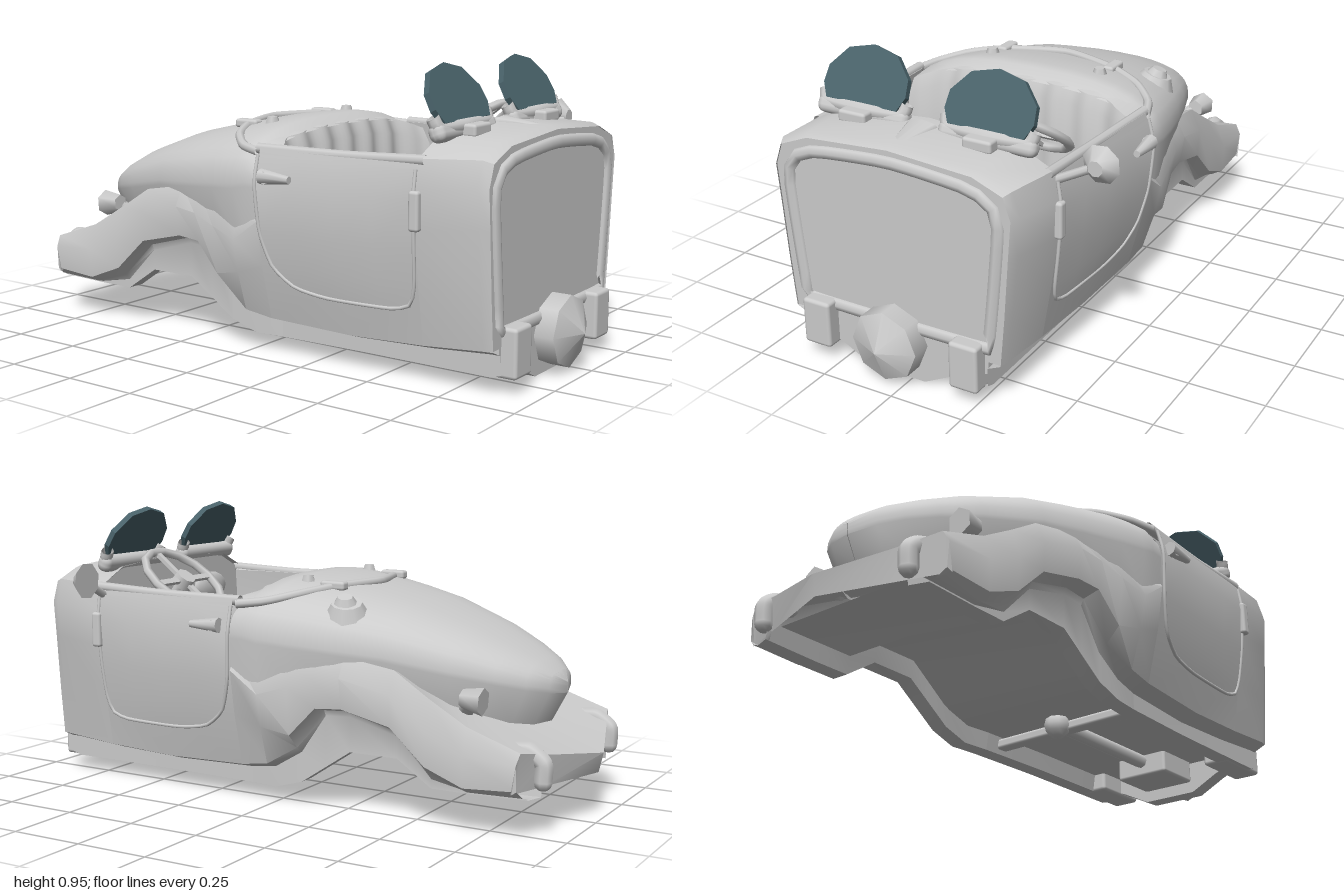
import * as THREE from 'three';
import { toCreasedNormals } from 'three/addons/utils/BufferGeometryUtils.js';
import { RoundedBoxGeometry } from 'three/addons/geometries/RoundedBoxGeometry.js';

const grey = new THREE.MeshStandardMaterial({ color: 0xcccccc, side: THREE.DoubleSide });
const tint = new THREE.MeshStandardMaterial({ color: 0x4a636b, side: THREE.DoubleSide });
const V = (x, y, z) => new THREE.Vector3(x, y, z);

// Skin a list of cross-sections, each a list of [x, y, z]
function loft(sections) {
  const n = sections[0].length, index = [];
  for (let i = 0; i < sections.length - 1; i++) {
    for (let j = 0; j < n - 1; j++) {
      const a = i * n + j, b = a + n;
      index.push(a, b, a + 1, a + 1, b, b + 1);
    }
  }
  const g = new THREE.BufferGeometry();
  g.setAttribute('position', new THREE.Float32BufferAttribute(sections.flat(2), 3));
  g.setIndex(index);
  return toCreasedNormals(g, 0.65);
}
// Half profile [x, y] from the sill to the centre line -> whole profile
const whole = (half) => [...half, ...half.slice(0, -1).reverse().map(([x, y]) => [-x, y])];
const atZ = (pts, z) => pts.map(([x, y]) => [x, y, z]);
// Chassis rail under the body, with a small shelf where the body overhangs it
const withRail = ([sill, ...rest]) => [[sill[0] - 0.07, sill[1] + 0.06], [sill[0] - 0.06, sill[1]], sill,
  [sill[0], Math.max(sill[1] + 0.005, rest[0][1] - 0.02)], ...rest];
const shapeOf = (pts) => new THREE.Shape(pts.map(([x, y]) => new THREE.Vector2(x, y)));

const COWL = [
  [0.89, [[0.33, 0.06], [0.375, 0.14], [0.39, 0.3], [0.405, 0.5], [0.415, 0.62], [0.39, 0.69], [0.29, 0.73], [0, 0.75]]],
  [0.86, [[0.33, 0.05], [0.38, 0.14], [0.4, 0.3], [0.42, 0.5], [0.428, 0.62], [0.405, 0.7], [0.3, 0.74], [0, 0.76]]],
  [0.66, [[0.33, 0.05], [0.385, 0.125], [0.415, 0.3], [0.44, 0.48], [0.445, 0.6], [0.425, 0.69], [0.31, 0.745], [0, 0.77]]],
];
const WALL = [
  [0.66, COWL[2][1].slice(0, 6)],
  [0.4, [[0.33, 0.05], [0.39, 0.115], [0.43, 0.28], [0.455, 0.45], [0.46, 0.58], [0.435, 0.68]]],
  [0.1, [[0.34, 0.05], [0.4, 0.125], [0.445, 0.3], [0.47, 0.45], [0.475, 0.57], [0.45, 0.68]]],
];
const FENDER = [
  [0.1, [[0.34, 0.05], [0.4, 0.125], [0.445, 0.3], [0.47, 0.45], [0.44, 0.5], [0.3, 0.5], [0, 0.5]]],
  [0, [[0.35, 0.05], [0.405, 0.14], [0.445, 0.27], [0.468, 0.38], [0.45, 0.44], [0.3, 0.46], [0, 0.46]]],
  [-0.1, [[0.35, 0.08], [0.38, 0.2], [0.43, 0.25], [0.45, 0.41], [0.43, 0.48], [0.3, 0.48], [0, 0.46]]],
  [-0.19, [[0.35, 0.14], [0.36, 0.33], [0.42, 0.345], [0.435, 0.44], [0.405, 0.505], [0.3, 0.48], [0, 0.44]]],
  [-0.28, [[0.35, 0.2], [0.36, 0.335], [0.41, 0.35], [0.425, 0.45], [0.39, 0.515], [0.29, 0.49], [0, 0.43]]],
  [-0.45, [[0.35, 0.2], [0.36, 0.29], [0.405, 0.31], [0.41, 0.41], [0.375, 0.485], [0.25, 0.44], [0, 0.4]]],
  [-0.57, [[0.35, 0.12], [0.365, 0.17], [0.405, 0.2], [0.41, 0.31], [0.38, 0.41], [0.25, 0.38], [0, 0.36]]],
  [-0.7, [[0.35, 0.12], [0.37, 0.13], [0.405, 0.15], [0.41, 0.25], [0.38, 0.335], [0.25, 0.33], [0, 0.32]]],
  [-0.87, [[0.35, 0.125], [0.37, 0.135], [0.4, 0.16], [0.405, 0.24], [0.385, 0.275], [0.25, 0.25], [0, 0.215]]],
];
// z, half width, lower half width, lower y, rim y, top y
const DECK = [
  [0.1, 0.47, 0.46, 0.42, 0.57, 0.71], [0.05, 0.473, 0.46, 0.41, 0.57, 0.74], [0, 0.47, 0.455, 0.4, 0.56, 0.742],
  [-0.1, 0.452, 0.43, 0.42, 0.55, 0.73],
  [-0.25, 0.415, 0.39, 0.42, 0.535, 0.7], [-0.4, 0.37, 0.34, 0.42, 0.52, 0.665], [-0.6, 0.295, 0.26, 0.36, 0.48, 0.595],
  [-0.72, 0.23, 0.2, 0.32, 0.455, 0.54], [-0.8, 0.165, 0.15, 0.31, 0.435, 0.5], [-0.85, 0.095, 0.09, 0.3, 0.42, 0.465],
  [-0.875, 0.001, 0.001, 0.3, 0.41, 0.435],
];

// Outer wall half-width at a height, for parts that lie on the doors
function wallX(z, y) {
  const at = ([, p]) => {
    const i = Math.max(1, p.findIndex((q) => q[1] >= y));
    return THREE.MathUtils.mapLinear(y, p[i - 1][1], p[i][1], p[i - 1][0], p[i][0]);
  };
  const i = z > 0.4 ? 0 : 1;
  return THREE.MathUtils.mapLinear(z, WALL[i][0], WALL[i + 1][0], at(WALL[i]), at(WALL[i + 1]));
}

export function createModel() {
  const root = new THREE.Group();
  root.name = 'roadsterBody';
  const car = new THREE.Group();
  car.name = 'car';
  car.position.x = -0.055;
  root.add(car);
  const add = (name, geo, pos = [0, 0, 0], rot = [0, 0, 0], mat = grey) => {
    const m = new THREE.Mesh(geo, mat);
    m.name = name;
    m.position.set(...pos);
    m.rotation.set(...rot);
    car.add(m);
    return m;
  };
  const box = (name, w, h, d, pos, rot, r = 0.01) => add(name, new RoundedBoxGeometry(w, h, d, 2, r), pos, rot);
  const tube = (name, pts, r, closed = false) => add(name, new THREE.TubeGeometry(
    new THREE.CatmullRomCurve3(pts.map((p) => V(...p)), closed, 'catmullrom', 0.3), 40, r, 8, closed));
  const rod = (name, a, b, r1, r2 = r1, sides = 8) => {
    const A = V(...a), d = V(...b).sub(A);
    const m = add(name, new THREE.CylinderGeometry(r2, r1, d.length(), sides));
    m.position.copy(A).addScaledVector(d, 0.5);
    m.quaternion.setFromUnitVectors(V(0, 1, 0), d.normalize());
    return m;
  };

  // Cowl with closed front and dashboard
  add('cowl', loft(COWL.map(([z, p]) => atZ(whole(withRail(p)), z))));
  add('frontPanel', new THREE.ShapeGeometry(shapeOf(whole(COWL[0][1].slice(1)))), [0, 0, 0.885]);
  add('dashboard', new THREE.ShapeGeometry(shapeOf(whole(COWL[2][1].slice(1)))), [0, 0, 0.67]).scale.set(0.985, 0.99, 1);
  const frame = [[-0.31, 0.185], [0.31, 0.185], [0.335, 0.22], [0.37, 0.58], [0.345, 0.655], [0.26, 0.69], [0, 0.71],
    [-0.26, 0.69], [-0.345, 0.655], [-0.37, 0.58], [-0.335, 0.22]];
  tube('frontFrame', atZ(frame, 0.876), 0.024, true);

  // Rear fenders and tail skirt, pointed at the middle and closed behind
  const fender = FENDER.map(([z, p]) => atZ(whole(withRail(p)), z));
  const tail = fender[fender.length - 1];
  tail.forEach((p) => { p[2] -= 0.13 * Math.max(0, 1 - Math.abs(p[0]) / 0.41); });
  fender.push(tail.map(([x, y, z]) => [x, Math.min(y, 0.15), z + 0.015]));
  add('fendersAndTail', loft(fender));

  // Tapered rear deck, tucked in below its rim
  add('rearDeck', loft(DECK.map(([z, w, xb, yb, yr, yt]) => {
    const half = [[w, yr - 0.015]];
    for (let i = 0; i <= 8; i++) {
      const a = (i / 8) * Math.PI / 2;
      half.push([w * Math.cos(a) ** 0.75, yr + (yt - yr) * Math.sin(a) ** 0.85]);
    }
    const zLow = z < -0.7 ? z + 0.05 : z;
    return [[xb, yb, zLow], ...atZ(whole(half), z), [-xb, yb, zLow]];
  })));

  for (const s of [1, -1]) {
    // Cockpit side with an inner skin
    add('cockpitSide', loft(WALL.map(([z, p]) => atZ([...withRail(p),
      [p[5][0] - 0.035, 0.675], [p[4][0] - 0.04, 0.5], [p[2][0] - 0.04, 0.28], [0.33, 0.11]].map(([x, y]) => [s * x, y]), z))));
    tube('cockpitRim', [[s * 0.415, 0.685, 0.68], [s * 0.42, 0.675, 0.4], [s * 0.435, 0.675, 0.08]], 0.017);

    // Door: rows of height, front z and back z, with a raised edge
    const rows = [[0.23, 0.56, 0.34], [0.25, 0.63, 0.22], [0.31, 0.65, 0.145], [0.42, 0.657, 0.11], [0.57, 0.66, 0.1], [0.66, 0.66, 0.1]];
    const onDoor = (y, z) => [s * (wallX(z, y) + 0.006), y, z];
    add('door', loft(rows.map(([y, z0, z1]) => [0, 0.25, 0.5, 0.75, 1].map((t) => onDoor(y, z0 + (z1 - z0) * t)))));
    const edge = [...rows.map(([y, , z]) => onDoor(y, z)).reverse(), ...rows.map(([y, z]) => onDoor(y, z))];
    tube('doorEdge', edge, 0.006);
    box('doorHinge', 0.03, 0.12, 0.035, [s * 0.447, 0.54, 0.665]);
    rod('handleStem', [s * 0.465, 0.595, 0.15], [s * 0.5, 0.595, 0.15], 0.02);
    rod('doorHandle', [s * 0.485, 0.597, 0.13], [s * 0.488, 0.595, 0.24], 0.025, 0.012);

    // Chassis horn
    box('chassisHorn', 0.1, 0.155, 0.22, [s * 0.268, 0.125, 0.825], [0, 0, 0], 0.012);

    // Small windscreen in its holder
    const x = s * 0.222;
    const pane = [[-0.13, 0], [0.13, 0], [0.152, 0.045], [0.147, 0.1], [0.09, 0.165], [0, 0.187],
      [-0.09, 0.165], [-0.147, 0.1], [-0.152, 0.045]];
    add('windscreen', new THREE.ExtrudeGeometry(shapeOf(pane), { depth: 0.02, bevelEnabled: false }),
      [x, 0.779, 0.69], [-0.5, 0, 0], tint);
    tube('windscreenHolder', [[x - 0.15, 0.805, 0.675], [x - 0.135, 0.772, 0.69], [x, 0.772, 0.705],
      [x + 0.135, 0.772, 0.69], [x + 0.15, 0.805, 0.675]], 0.022);
    box('holderFoot', 0.335, 0.06, 0.055, [x, 0.76, 0.69], [-0.4, 0, 0], 0.025);
    box('holderClip', 0.1, 0.04, 0.05, [x, 0.76, 0.735]);

    // Tail lamp, bumper guard, deck fittings
    rod('tailLamp', [s * 0.305, 0.4, -0.72], [s * 0.305, 0.405, -0.65], 0.045, 0.03, 6);
    rod('lampStem', [s * 0.3, 0.4, -0.68], [s * 0.25, 0.36, -0.64], 0.025);
    tube('bumperGuard', [[s * 0.295, 0.26, -0.82], [s * 0.295, 0.262, -0.87], [s * 0.295, 0.23, -0.915],
      [s * 0.295, 0.175, -0.915]], 0.03);
    add('guardEnd', new THREE.SphereGeometry(0.03, 8, 6), [s * 0.295, 0.26, -0.82]);
    add('guardEnd', new THREE.SphereGeometry(0.03, 8, 6), [s * 0.295, 0.175, -0.915]);
    add('deckStud', new THREE.CylinderGeometry(0.018, 0.028, 0.03, 6), [s * 0.21, 0.73, -0.04]);
    box('trimBracket', 0.04, 0.03, 0.09, [s * 0.21, 0.715, -0.14]);
  }

  // Curved trim rail over the deck
  tube('deckTrim', [[-0.445, 0.665, 0.09], [-0.41, 0.675, 0], [-0.33, 0.695, -0.08], [-0.21, 0.71, -0.14], [0, 0.715, -0.2],
    [0.21, 0.71, -0.14], [0.33, 0.695, -0.08], [0.41, 0.675, 0], [0.445, 0.665, 0.09]], 0.015);
  add('fuelCap', new THREE.CylinderGeometry(0.05, 0.075, 0.045, 10), [0.32, 0.655, -0.25], [-0.15, 0, -0.3]);
  add('fuelCapTop', new THREE.CylinderGeometry(0.025, 0.04, 0.025, 8), [0.33, 0.685, -0.25], [-0.15, 0, -0.3]);

  // Cowl ornament
  rod('cowlOrnament', [0, 0.758, 0.7], [0, 0.752, 0.87], 0.06, 0.012).scale.z = 0.35;

  // Front axle cover, apron and underside
  add('axleDisc', new THREE.CylinderGeometry(0.115, 0.115, 0.08, 8), [0, 0.13, 0.91], [Math.PI / 2, 0, 0]);
  add('axleCone', new THREE.ConeGeometry(0.115, 0.05, 8), [0, 0.13, 0.975], [Math.PI / 2, 0, 0]);
  const apron = [[-0.33, 0.2], [-0.33, 0.1], [-0.2, 0.05], [-0.1, 0], [0.1, 0], [0.2, 0.05], [0.33, 0.1], [0.33, 0.2]];
  add('frontApron', new THREE.ExtrudeGeometry(shapeOf(apron), { depth: 0.06, bevelEnabled: false }), [0, 0, 0.825]);
  const tray = [[0.83, 0.11], [0, 0.11], [-0.12, 0.15], [-0.28, 0.26], [-0.45, 0.26], [-0.57, 0.18], [-0.86, 0.18]];
  add('underTray', loft(tray.map(([z, y]) => [[0.33, y, z], [-0.33, y, z]])));
  box('gearbox', 0.2, 0.09, 0.18, [0, 0.08, 0.73]);
  rod('driveShaft', [0, 0.09, 0.7], [0, 0.09, 0.12], 0.025);
  box('crossMember', 0.62, 0.035, 0.05, [0, 0.085, 0.18]);
  add('shaftJoint', new THREE.SphereGeometry(0.045, 8, 6), [0, 0.085, 0.14]);

  // Bench seat with a softly pleated back that curves into the sides
  box('seatCushion', 0.75, 0.2, 0.3, [0, 0.22, 0.25], [0, 0, 0], 0.05);
  const back = [];
  for (let i = 0; i <= 56; i++) {
    const t = i / 28 - 1;
    const top = 0.57 + 0.145 * Math.sqrt(1 - Math.abs(0.88 * t) ** 2.67) ** 0.85;
    const wave = 0.008 * Math.cos(t * Math.PI * 7) + 0.07 * t ** 8;
    back.push([[0.06, 0.01], [0.095, 0], [0.115, -0.05], [0.125, -0.2], [0.14, -0.4]]
      .map(([z, dy], k) => [0.42 * t, top + dy, k ? z + wave : z]));
  }
  add('seatBack', loft(back));

  // Steering wheel and column
  const wheel = new THREE.Group();
  wheel.name = 'steeringWheel';
  wheel.position.set(0.21, 0.7, 0.47);
  wheel.rotation.x = -0.66;
  car.add(wheel);
  const part = (name, geo) => {
    const m = new THREE.Mesh(geo, grey);
    m.name = name;
    wheel.add(m);
    return m;
  };
  part('wheelRim', new THREE.TorusGeometry(0.152, 0.015, 6, 14)).rotation.x = Math.PI / 2;
  part('wheelHub', new THREE.CylinderGeometry(0.035, 0.04, 0.04, 8));
  for (const a of [0, Math.PI / 2]) part('wheelSpokes', new THREE.BoxGeometry(0.3, 0.012, 0.022)).rotation.y = a;
  rod('steeringColumn', [0.21, 0.7, 0.47], [0.21, 0.45, 0.66], 0.02);

  // Dash pad
  add('dashPad', new THREE.SphereGeometry(0.1, 12, 8), [-0.2, 0.63, 0.65]).scale.set(1, 0.55, 0.25);

  // Wing mirror on the left side
  rod('mirrorArm', [0.42, 0.655, 0.65], [0.53, 0.71, 0.64], 0.014);
  add('mirrorHead', new THREE.CylinderGeometry(0.062, 0.025, 0.04, 8), [0.555, 0.72, 0.635], [-Math.PI / 2, 0.3, 0]);

  return root;
}
